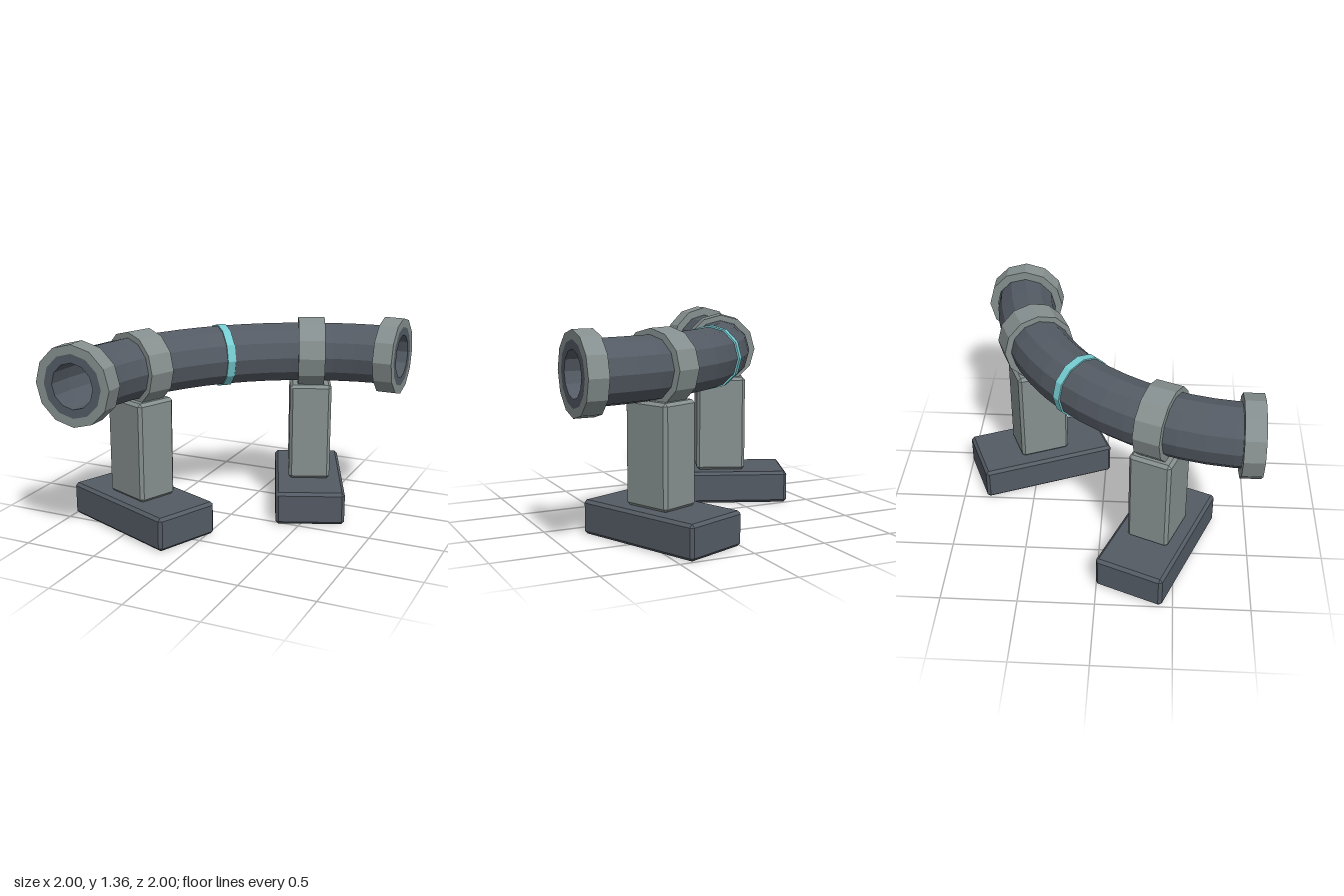
import * as THREE from 'three';
import { ConvexGeometry } from 'three/addons/geometries/ConvexGeometry.js';

const BEND = 1.605;      // bend radius, centred on x = 1, z = 1
const PIPE_Y = 1.1;
const OUTER = 0.204, INNER = 0.147, SIDES = 12;

function material(name, color) {
  const m = new THREE.MeshStandardMaterial({ color, flatShading: true });
  m.name = name;
  return m;
}

function mesh(name, geometry, mat, parent) {
  const m = new THREE.Mesh(geometry, mat);
  m.name = name;
  parent.add(m);
  return m;
}

// Box with every edge chamfered by c, standing from y0 to y1
function chamferBox(w, y0, y1, d, c) {
  const pts = [];
  const h = (y1 - y0) / 2, cy = (y0 + y1) / 2;
  for (const sx of [-1, 1]) for (const sy of [-1, 1]) for (const sz of [-1, 1])
    for (let axis = 0; axis < 3; axis++) {
      const cut = [c, c, c];
      cut[axis] = 0;
      pts.push(new THREE.Vector3(sx * (w / 2 - cut[0]), cy + sy * (h - cut[1]), sz * (d / 2 - cut[2])));
    }
  return new ConvexGeometry(pts);
}

// Hollow collar around the local z axis
function collar(ri, ro, width) {
  const h = width / 2;
  const profile = [[ri, -h], [ro, -h], [ro, h], [ri, h], [ri, -h]].map(p => new THREE.Vector2(...p));
  return new THREE.LatheGeometry(profile, SIDES).rotateX(Math.PI / 2);
}

// Quarter-turn tube wall; dir = 1 faces outward, -1 faces the bore
function bentWall(r, dir) {
  const profile = [];
  for (let i = 0; i <= SIDES; i++) {
    const a = dir * i / SIDES * Math.PI * 2;
    profile.push(new THREE.Vector2(BEND + r * Math.cos(a), r * Math.sin(a)));
  }
  return new THREE.LatheGeometry(profile, 16, Math.PI, Math.PI / 2).translate(1, PIPE_Y, 1);
}

// Group on the bend: local x points to the bend centre, local z runs along the pipe
function station(name, t, parent) {
  const g = new THREE.Group();
  g.name = name;
  g.position.set(1 - BEND * Math.cos(t), 0, 1 - BEND * Math.sin(t));
  g.rotation.y = -t;
  parent.add(g);
  return g;
}

export function createModel() {
  const model = new THREE.Group();
  model.name = 'pipeBend';
  const dark = material('dark slate', 0x545b64);
  const grey = material('steel grey', 0x868f8f);
  const teal = material('teal', 0x76ccd2);

  // Pipe
  mesh('pipeOuterWall', bentWall(OUTER, 1), dark, model);
  mesh('pipeInnerWall', bentWall(INNER, -1), dark, model);

  // Pipe ends with flanges
  for (const [name, t, dir] of [['frontEnd', 0, 1], ['leftEnd', Math.PI / 2, -1]]) {
    const end = station(name, t, model);
    const rim = mesh('pipeRim', new THREE.RingGeometry(INNER, OUTER, SIDES), dark, end);
    rim.position.y = PIPE_Y;
    if (dir < 0) rim.rotation.y = Math.PI;
    mesh('flange', collar(OUTER, 0.262, 0.13), grey, end).position.set(0, PIPE_Y, -dir * 0.065);
  }

  // Clamped supports
  for (const [name, t] of [['frontSupport', Math.PI / 8], ['backSupport', 3 * Math.PI / 8]]) {
    const s = station(name, t, model);
    mesh('base', chamferBox(0.938, 0, 0.226, 0.468, 0.02), dark, s);
    mesh('column', chamferBox(0.346, 0.226, 0.9, 0.284, 0.02), grey, s);
    mesh('clampBand', collar(0.195, 0.243, 0.178), grey, s).position.y = PIPE_Y;
  }

  // Coloured marker ring in the middle
  const mid = station('marker', Math.PI / 4, model);
  mesh('markerRing', collar(0.195, 0.214, 0.056), teal, mid).position.y = PIPE_Y;

  return model;
}
